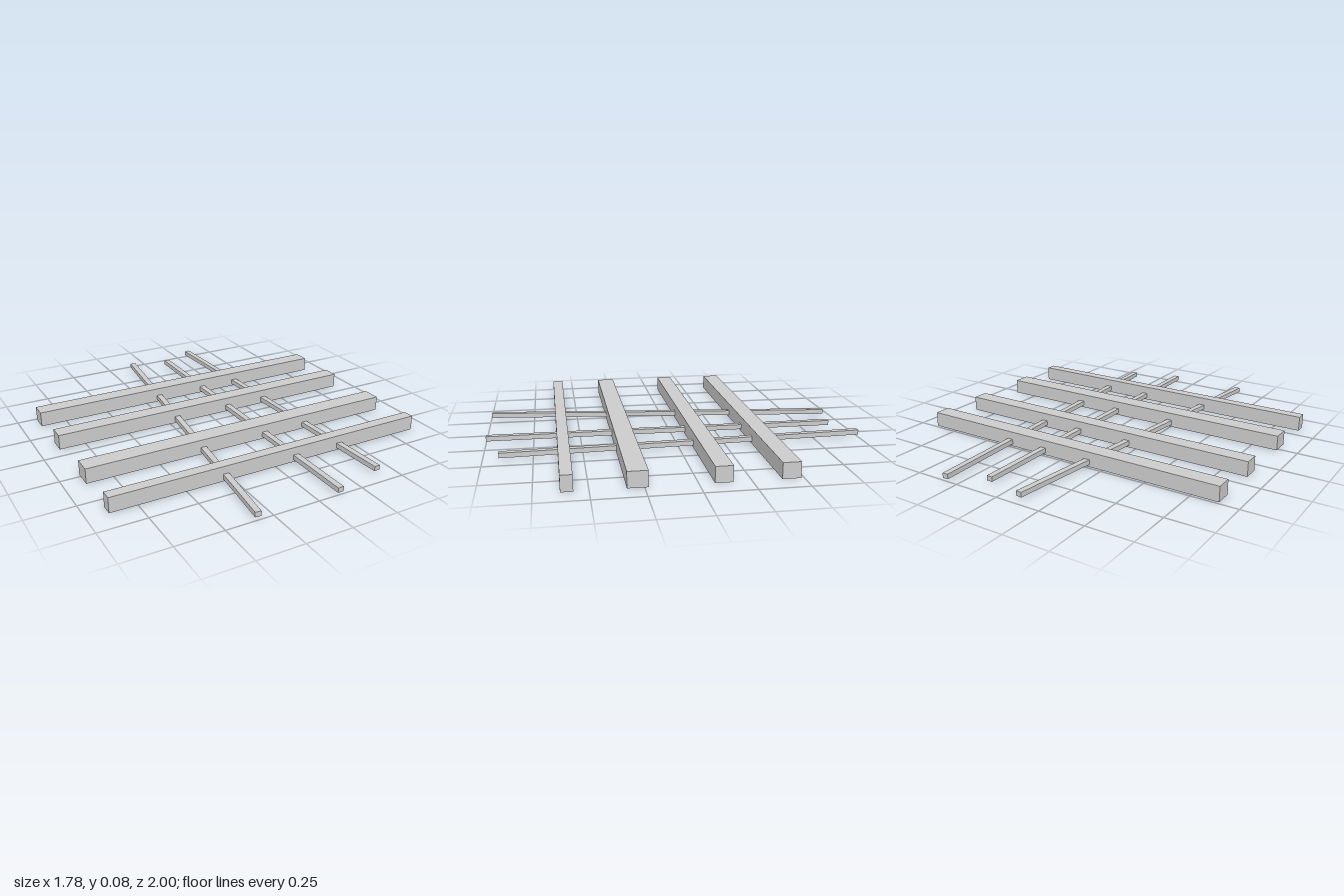
import * as THREE from 'three';

const material = new THREE.MeshStandardMaterial({ color: 0xcccccc, flatShading: true });

export function createModel() {
  const group = new THREE.Group();
  group.name = 'beamLattice';

  const addBox = (name, w, h, d, x, y, z, turn = 0) => {
    const mesh = new THREE.Mesh(new THREE.BoxGeometry(w, h, d), material);
    mesh.name = name;
    mesh.position.set(x, y, z);
    mesh.rotation.y = turn;
    group.add(mesh);
  };

  // Four thick cross beams: [z centre, depth]
  const beams = [[-0.44, 0.091], [-0.118, 0.087], [0.281, 0.099], [0.599, 0.059]];
  beams.forEach(([z, depth], i) =>
    addBox(`crossBeam${i + 1}`, 1.785, 0.081, depth, 0, 0.0405, z));

  // Three thin rods running through the beams: [back x, back z, front x, front z]
  const rods = [
    ['rightRod', -0.101, -0.957, -0.328, 0.993],
    ['middleRod', 0.123, -0.905, 0.123, 1],
    ['leftRod', 0.323, -0.999, 0.407, 0.92],
  ];
  for (const [name, x0, z0, x1, z1] of rods) {
    const dx = x1 - x0, dz = z1 - z0;
    addBox(name, 0.032, 0.026, Math.hypot(dx, dz),
      (x0 + x1) / 2, 0.026, (z0 + z1) / 2, Math.atan2(dx, dz));
  }
  return group;
}
